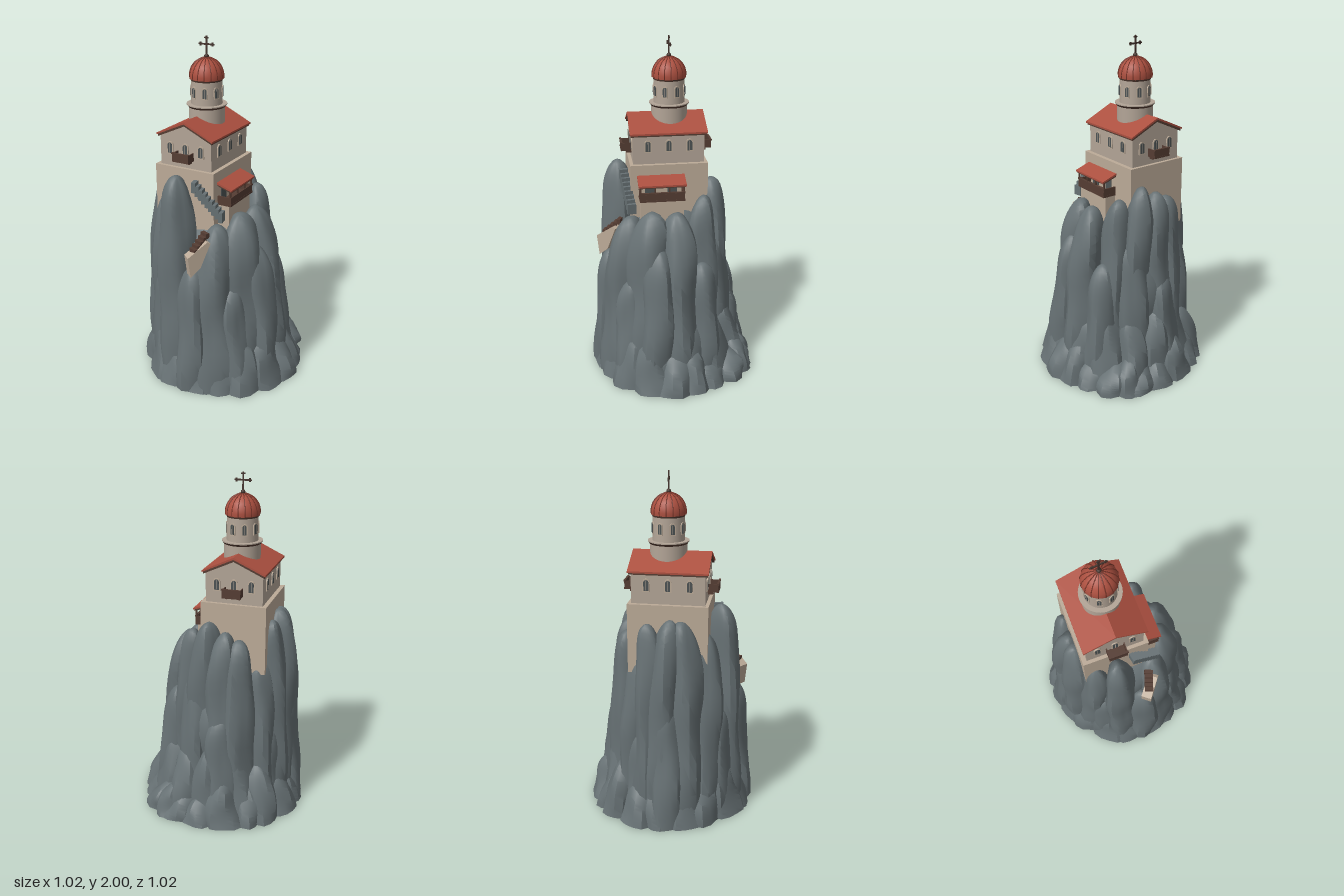
import * as THREE from 'three';
import { toCreasedNormals } from 'three/addons/utils/BufferGeometryUtils.js';

const mat = (name, color) => {
  const m = new THREE.MeshStandardMaterial({ color });
  m.name = name;
  return m;
};

export function createModel() {
  const rockMat = mat('rock grey', 0x677174);
  const wallMat = mat('plaster', 0xb3a597);
  const baseMat = mat('stone wall', 0xbcab98);
  const roofMat = mat('roof red', 0xac5040);
  const ribMat = mat('dome rib red', 0x7a3529);
  const woodMat = mat('dark wood', 0x553d33);
  const paneMat = mat('window pane', 0x4d5354);
  const metalMat = mat('dark metal', 0x45352e);

  const model = new THREE.Group();
  model.name = 'cliffTopChapel';
  const add = (parent, name, geo, m, x = 0, y = 0, z = 0, ry = 0) => {
    const mesh = new THREE.Mesh(geo, m);
    mesh.name = name;
    mesh.position.set(x, y, z);
    mesh.rotation.y = ry;
    parent.add(mesh);
    return mesh;
  };
  const box = (parent, name, w, h, d, m, x, y, z, ry = 0) =>
    add(parent, name, new THREE.BoxGeometry(w, h, d), m, x, y, z, ry);

  // ---- Rock: leaning, uneven pillars with blunt tops ----
  const cliff = new THREE.Group();
  cliff.name = 'cliff';
  model.add(cliff);
  let seed = 7;
  const rand = () => (seed = (seed * 16807) % 2147483647) / 2147483647;

  function pillar(name, bx, bz, tx, tz, top, w, taper = 0.2, sides = 18) {
    const pts = [new THREE.Vector2(0, 0)];
    const n = 18;
    const blunt = Math.max(3, 10 * top);
    for (let i = 0; i <= n; i++) {
      const t = Math.sin((i / n) * Math.PI / 2);
      const r = Math.pow(Math.max(0, 1 - Math.pow(t, blunt)), 0.55);
      pts.push(new THREE.Vector2(i === n ? 0 : r, t));
    }
    const geo = new THREE.LatheGeometry(pts, sides);
    const p = geo.attributes.position;
    const a1 = rand() * 6.28, a2 = rand() * 6.28, a3 = rand() * 6.28;
    const stretch = 0.9 + rand() * 0.2;
    for (let i = 0; i < p.count; i++) {
      const x = p.getX(i), t = p.getY(i), z = p.getZ(i);
      const a = Math.atan2(z, x);
      const bump = 1 + 0.08 * Math.sin(2 * a + a1 + 4 * t) + 0.07 * Math.sin(4 * a + a2 - 5 * t)
        + 0.06 * Math.sin(12 * t * Math.max(top, 0.4) + a3 + a);
      const s = w * bump * (1 + taper * (0.6 - t));
      p.setXYZ(i, bx + (tx - bx) * t + x * s * stretch,
        top * t * (1 + 0.05 * t * (x * Math.cos(a1) + z * Math.sin(a1))),
        bz + (tz - bz) * t + z * s / stretch);
    }
    add(cliff, name, toCreasedNormals(geo, 0.6), rockMat);
  }

  pillar('rockCore', -0.02, 0, -0.08, -0.03, 1.04, 0.32, 0.2, 40);
  // base x, base z, top x, top z, height, radius
  [
    [-0.35, 0.13, -0.32, 0.11, 1.27, 0.095],
    [0.2, -0.09, 0.19, -0.11, 1.19, 0.1],
    [0, 0.31, 0, 0.25, 1.05, 0.12],
    [0.2, 0.23, 0.14, 0.18, 1.05, 0.11],
    [0.24, 0.06, 0.2, 0.01, 1.12, 0.09],
    [-0.19, 0.31, -0.15, 0.25, 1.0, 0.115],
    [-0.35, -0.05, -0.34, -0.03, 1.13, 0.09],
    [-0.32, -0.17, -0.29, -0.16, 1.21, 0.1],
    [-0.23, -0.27, -0.22, -0.23, 1.22, 0.1],
    [-0.14, -0.3, -0.13, -0.28, 1.19, 0.09],
    [-0.03, -0.31, -0.04, -0.28, 0.98, 0.095],
    [0.12, -0.28, 0.06, -0.25, 1.1, 0.1],
    [0.2, -0.22, 0.14, -0.19, 1.14, 0.095],
    [0.27, -0.08, 0.24, -0.08, 0.88, 0.09],
    [-0.29, 0.25, -0.28, 0.23, 0.76, 0.1],
    [0.28, 0.12, 0.25, 0.1, 0.74, 0.1],
    [0.1, 0.34, 0.09, 0.29, 0.86, 0.1],
    [-0.08, 0.36, -0.08, 0.31, 0.66, 0.1],
    [-0.37, 0.03, -0.37, 0.03, 0.68, 0.085],
    [0.2, -0.27, 0.17, -0.23, 0.66, 0.1],
    [-0.28, -0.28, -0.26, -0.24, 0.8, 0.09],
    [-0.1, -0.33, -0.09, -0.29, 0.6, 0.09],
  ].forEach((c) => pillar('rockPillar', ...c));

  // Boulders around the foot, in an outer and an inner ring
  for (let i = 0; i < 19; i++) {
    const a = (i / 19) * Math.PI * 2 + 0.1 * rand();
    const r = 0.385 + 0.02 * rand();
    const c = Math.cos(a), s = Math.sin(a);
    // lower on the +x side
    pillar('footBoulder', c * r, s * r, c * (r - 0.04), s * (r - 0.04),
      (c > 0.7 ? 0.15 : 0.24) + 0.14 * rand(), 0.085 + 0.025 * rand(), 0.25, 14);
  }
  for (let i = 0; i < 13; i++) {
    const a = ((i + 0.5) / 13) * Math.PI * 2;
    const c = Math.cos(a), s = Math.sin(a);
    pillar('innerBoulder', c * 0.34, s * 0.34, c * 0.3, s * 0.3, 0.34 + 0.2 * rand(), 0.1, 0.25, 14);
  }
  pillar('footBoulder', 0.43, -0.06, 0.38, -0.06, 0.2, 0.08, 0.3, 14);

  // ---- Chapel, turned so its gables face the front-left and back-right ----
  const chapel = new THREE.Group();
  chapel.name = 'chapel';
  chapel.position.set(-0.09, 0, -0.07);
  chapel.rotation.y = 0.68;
  model.add(chapel);

  box(chapel, 'baseWall', 0.45, 0.4, 0.38, baseMat, 0, 1.1, 0);

  // Extrudes a (z, y) outline along x
  const extrudeX = (pts, length) => {
    const geo = new THREE.ExtrudeGeometry(new THREE.Shape(pts.map(([z, y]) => new THREE.Vector2(z, y))),
      { depth: length, bevelEnabled: false });
    geo.translate(0, 0, -length / 2);
    return geo.rotateY(-Math.PI / 2);
  };
  add(chapel, 'houseWalls', extrudeX([[-0.165, 1.29], [0.165, 1.29], [0.165, 1.475], [0, 1.552], [-0.165, 1.475]], 0.41), wallMat);
  add(chapel, 'roofTimber', extrudeX([[-0.175, 1.463], [0, 1.543], [0.175, 1.463], [0.175, 1.478], [0, 1.558], [-0.175, 1.478]], 0.435), woodMat);
  add(chapel, 'roof', extrudeX([[-0.182, 1.473], [0, 1.556], [0.182, 1.473], [0.182, 1.483], [0, 1.568], [-0.182, 1.483]], 0.445), roofMat);

  // Arched windows: pale surround with a dark pane on top
  const arch = (w, h, d) => {
    const s = new THREE.Shape();
    s.moveTo(-w / 2, -h / 2);
    s.lineTo(w / 2, -h / 2);
    s.lineTo(w / 2, h / 2 - w / 2);
    s.absarc(0, h / 2 - w / 2, w / 2, 0, Math.PI, false);
    s.closePath();
    return new THREE.ExtrudeGeometry(s, { depth: d, bevelEnabled: false, curveSegments: 8 });
  };
  const windowAt = (x, y, z, ry, w, h) => {
    const g = new THREE.Group();
    g.name = 'window';
    g.position.set(x, y, z);
    g.rotation.y = ry;
    chapel.add(g);
    add(g, 'windowSurround', arch(w + 0.013, h + 0.013, 0.006), baseMat);
    add(g, 'windowPane', arch(w, h, 0.008), paneMat);
    box(g, 'windowBar', 0.003, h * 0.9, 0.002, wallMat, 0, 0, 0.008);
  };
  for (const x of [-0.12, 0, 0.12]) {
    windowAt(x, 1.405, 0.165, 0, 0.028, 0.06);
    windowAt(x, 1.405, -0.165, Math.PI, 0.028, 0.06);
  }

  // Gable ends: windows and a wooden balcony on each
  for (const s of [-1, 1]) {
    for (const z of [-0.1, 0, 0.1]) windowAt(s * 0.205, 1.405, z, s * Math.PI / 2, 0.028, 0.06);
    const b = new THREE.Group();
    b.name = 'balcony';
    b.position.x = s * 0.205;
    chapel.add(b);
    box(b, 'balconyFloor', 0.062, 0.01, 0.105, woodMat, s * 0.031, 1.352, 0);
    box(b, 'balconyFront', 0.006, 0.035, 0.105, woodMat, s * 0.058, 1.373, 0);
    box(b, 'balconyRail', 0.012, 0.008, 0.112, woodMat, s * 0.058, 1.395, 0);
    for (const z of [-0.05, 0.05]) {
      box(b, 'balconySide', 0.058, 0.04, 0.006, woodMat, s * 0.03, 1.375, z);
      box(b, 'balconyBracket', 0.03, 0.016, 0.008, woodMat, s * 0.015, 1.341, z * 0.75);
    }
  }

  // ---- Porch on the long side ----
  const porch = new THREE.Group();
  porch.name = 'porch';
  porch.position.x = -0.05;
  chapel.add(porch);
  box(porch, 'porchFooting', 0.25, 0.2, 0.08, baseMat, 0, 1.01, 0.22);
  box(porch, 'porchFloor', 0.26, 0.012, 0.09, woodMat, 0, 1.112, 0.23);
  box(porch, 'porchParapet', 0.255, 0.035, 0.008, woodMat, 0, 1.134, 0.27);
  box(porch, 'porchRail', 0.262, 0.008, 0.014, woodMat, 0, 1.157, 0.27);
  for (const x of [-0.125, 0.125]) box(porch, 'porchSide', 0.008, 0.04, 0.085, woodMat, x, 1.138, 0.23);
  for (let i = 0; i < 4; i++) box(porch, 'porchPost', 0.009, 0.09, 0.009, woodMat, -0.125 + i * 0.0833, 1.155, 0.268);
  for (const x of [-0.065, 0.065]) box(porch, 'porchOpening', 0.055, 0.08, 0.006, paneMat, x, 1.16, 0.191);
  add(porch, 'porchRoofTimber', extrudeX([[0.18, 1.222], [0.277, 1.19], [0.277, 1.202], [0.18, 1.234]], 0.265), woodMat);
  add(porch, 'porchRoof', extrudeX([[0.18, 1.232], [0.284, 1.198], [0.284, 1.208], [0.18, 1.244]], 0.275), roofMat);

  // ---- Bell tower ----
  const TX = 0.022, TZ = 0.006;
  const cyl = (name, rt, rb, y0, y1, m) =>
    add(chapel, name, new THREE.CylinderGeometry(rt, rb, y1 - y0, 36), m, TX, (y0 + y1) / 2, TZ);
  cyl('towerDrum', 0.104, 0.104, 1.47, 1.61, wallMat);
  cyl('towerLedgeTrim', 0.116, 0.106, 1.606, 1.618, woodMat);
  cyl('towerLedge', 0.116, 0.116, 1.618, 1.624, wallMat);
  cyl('towerShaft', 0.088, 0.09, 1.62, 1.765, wallMat);
  cyl('towerCornice', 0.095, 0.09, 1.756, 1.768, woodMat);
  for (let i = 0; i < 8; i++) {
    const a = (i + 0.5) * Math.PI / 4;
    windowAt(TX + Math.sin(a) * 0.086, 1.695, TZ + Math.cos(a) * 0.086, a, 0.022, 0.055);
  }

  // Dome with sixteen dark ribs
  const domePts = [[0.096, 1.766], [0.098, 1.785], [0.093, 1.812], [0.081, 1.837], [0.061, 1.86], [0.036, 1.875], [0.012, 1.884]];
  const profile = [[0, 1.766], ...domePts, [0, 1.885]].map(([r, y]) => new THREE.Vector2(r, y));
  add(chapel, 'dome', toCreasedNormals(new THREE.LatheGeometry(profile, 48), 0.6), roofMat, TX, 0, TZ);
  const ribPath = new THREE.CatmullRomCurve3(domePts.map(([r, y]) => new THREE.Vector3(r, y, 0)));
  const ribGeo = new THREE.TubeGeometry(ribPath, 14, 0.003, 5);
  for (let i = 0; i < 16; i++) add(chapel, 'domeRib', ribGeo, ribMat, TX, 0, TZ, i * Math.PI / 8);

  // Finial and cross
  const cross = new THREE.Group();
  cross.name = 'cross';
  cross.position.set(TX, 0, TZ);
  cross.rotation.y = 0.1;
  chapel.add(cross);
  add(cross, 'finialBall', new THREE.SphereGeometry(0.013, 16, 10), metalMat, 0, 1.89, 0);
  box(cross, 'crossUpright', 0.007, 0.1, 0.009, metalMat, 0, 1.942, 0);
  box(cross, 'crossArm', 0.007, 0.009, 0.08, metalMat, 0, 1.955, 0);
  for (const [y, z] of [[1.99, 0], [1.955, -0.037], [1.955, 0.037]]) {
    box(cross, 'crossTip', 0.007, 0.007, 0.022, metalMat, 0, y, z);
    box(cross, 'crossTip', 0.007, 0.02, 0.009, metalMat, 0, y, z);
  }

  // ---- Stairs climbing the front of the rock ----
  const stairs = new THREE.Group();
  stairs.name = 'stairs';
  model.add(stairs);
  for (let i = 0; i < 9; i++) {
    const t = i / 8;
    box(stairs, 'upperStep', 0.025, 0.06, 0.05, rockMat, -0.235 + 0.12 * t, 1.22 - 0.16 * t, 0.16 + 0.1 * t, -0.7);
  }
  for (let i = 0; i < 5; i++)
    box(stairs, 'lowerStep', 0.022, 0.03, 0.05, woodMat, -0.21 - 0.02 * i, 0.96 - 0.018 * i, 0.25 + 0.008 * i, 0.3);
  const wedge = new THREE.Shape([[-0.335, 0.86], [-0.32, 0.74], [-0.26, 0.79], [-0.2, 0.93], [-0.22, 0.94]].map(([x, y]) => new THREE.Vector2(x, y)));
  add(stairs, 'stairFooting', new THREE.ExtrudeGeometry(wedge, { depth: 0.06, bevelEnabled: false }), baseMat, 0, 0, 0.25);

  return model;
}
